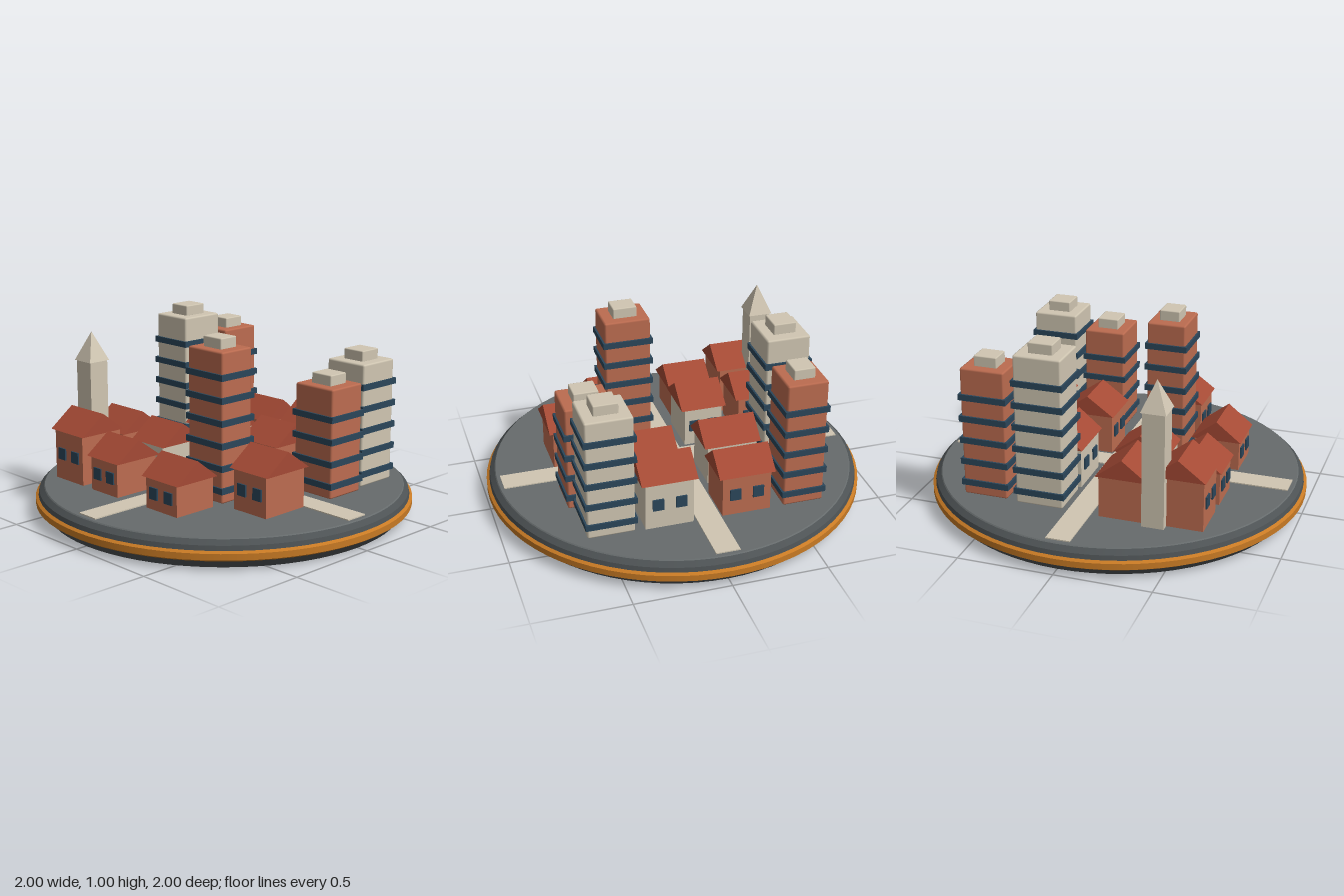
import * as THREE from 'three';
import { RoundedBoxGeometry } from 'three/addons/geometries/RoundedBoxGeometry.js';

const colours = {
  ground: 0x666b6c, stone: 0x4d5254, gold: 0xc87a24, cream: 0xd0c6b2,
  brick: 0xbc6c50, roof: 0xa54a35, glass: 0x2b465a,
};
const GROUND = 0.15;

export function createModel() {
  const root = new THREE.Group();
  root.name = 'cityDisc';
  const mats = {};
  for (const [name, color] of Object.entries(colours)) {
    mats[name] = new THREE.MeshStandardMaterial({ color });
    mats[name].name = name;
  }

  const add = (parent, name, geometry, mat, x, y, z) => {
    const mesh = new THREE.Mesh(geometry, mats[mat]);
    mesh.name = name;
    mesh.position.set(x, y, z);
    parent.add(mesh);
    return mesh;
  };
  const box = (w, h, d) => new THREE.BoxGeometry(w, h, d);
  const group = (name, x, z) => {
    const g = new THREE.Group();
    g.name = name;
    g.position.set(x, GROUND, z);
    root.add(g);
    return g;
  };

  // Round base: stacked rings [name, bottom radius, top radius, bottom y, top y, colour]
  const rings = [
    ['baseFoot', 0.94, 0.985, 0, 0.05, 'stone'],
    ['goldLowerBevel', 0.985, 1.0, 0.046, 0.056, 'gold'],
    ['goldBand', 1.0, 1.0, 0.056, 0.088, 'gold'],
    ['goldUpperBevel', 1.0, 0.985, 0.088, 0.098, 'gold'],
    ['baseRim', 0.985, 0.98, 0.098, 0.122, 'stone'],
    ['baseShoulder', 0.98, 0.955, 0.122, 0.145, 'stone'],
    ['groundDisc', 0.955, 0.95, 0.145, GROUND, 'ground'],
  ];
  for (const [name, r0, r1, y0, y1, mat] of rings)
    add(root, name, new THREE.CylinderGeometry(r1, r0, y1 - y0, 72), mat, 0, (y0 + y1) / 2, 0);

  // Crossing roads
  add(root, 'roadAcross', box(1.86, 0.006, 0.125), 'cream', 0, GROUND + 0.003, 0);
  for (const s of [-1, 1])
    add(root, 'roadAlong', box(0.125, 0.006, 0.867), 'cream', 0, GROUND + 0.003, s * 0.4965);

  // Towers: [x, z, width, depth, height, colour]
  const FLOOR = 0.1165;
  const towers = [
    [-0.505, -0.513, 0.235, 0.255, 0.687, 'brick'],
    [-0.51, -0.215, 0.25, 0.27, 0.795, 'cream'],
    [0.503, -0.508, 0.265, 0.26, 0.652, 'cream'],
    [0.53, -0.229, 0.27, 0.245, 0.572, 'brick'],
    [0.203, 0.225, 0.265, 0.225, 0.777, 'brick'],
  ];
  for (const [x, z, w, d, h, mat] of towers) {
    const g = group('tower', x, z);
    add(g, 'towerBody', new RoundedBoxGeometry(w - 0.02, h, d - 0.02, 1, 0.01), mat, 0, h / 2, 0);
    add(g, 'towerRoofBox', new RoundedBoxGeometry(w * 0.48, 0.06, d * 0.48, 1, 0.006), 'cream', 0, h + 0.025, 0);
    for (let i = 0; i < Math.floor(h / FLOOR); i++)
      add(g, 'windowBand', box(w, 0.032, d), 'glass', 0, 0.068 + i * FLOOR, 0);
  }

  // Gable roof prism with its ridge along x
  const gable = (w, h, d) => {
    const s = new THREE.Shape();
    s.moveTo(-d / 2, 0);
    s.lineTo(d / 2, 0);
    s.lineTo(0, h);
    s.closePath();
    return new THREE.ExtrudeGeometry(s, { depth: w, bevelEnabled: false })
      .translate(0, 0, -w / 2).rotateY(Math.PI / 2);
  };

  // Houses: [x, z, roof width, roof depth, wall height, colour]
  const houses = [
    [-0.2, -0.515, 0.295, 0.25, 0.22, 'brick'],
    [0.205, -0.505, 0.29, 0.275, 0.255, 'cream'],
    [-0.23, -0.202, 0.305, 0.255, 0.215, 'cream'],
    [0.198, -0.21, 0.26, 0.295, 0.215, 'brick'],
    [-0.523, 0.228, 0.26, 0.275, 0.225, 'brick'],
    [-0.205, 0.218, 0.25, 0.285, 0.215, 'cream'],
    [0.525, 0.197, 0.26, 0.295, 0.212, 'brick'],
    [-0.513, 0.51, 0.265, 0.28, 0.265, 'brick'],
    [-0.223, 0.508, 0.245, 0.285, 0.18, 'brick'],
    [0.208, 0.508, 0.265, 0.268, 0.163, 'brick'],
  ];
  for (const [x, z, w, d, h, mat] of houses) {
    const g = group('house', x, z);
    const wallDepth = d - 0.025;
    add(g, 'houseWalls', box(w - 0.04, h, wallDepth), mat, 0, h / 2, 0);
    add(g, 'gableRoof', gable(w, 0.105, d), 'roof', 0, h, 0);
    for (const sx of [-1, 1])
      for (const sz of [-1, 1])
        add(g, 'houseWindow', box(0.057, 0.062, 0.009), 'glass', sx * w * 0.205, h * 0.53, sz * (wallDepth / 2 + 0.004));
  }

  // Pointed stone tower
  const spire = group('spireTower', -0.61, 0.393);
  add(spire, 'spireShaft', box(0.115, 0.605, 0.115), 'cream', 0, 0.3025, 0);
  const cap = new THREE.ConeGeometry(0.13 * Math.SQRT1_2, 0.155, 4, 1).rotateY(Math.PI / 4).toNonIndexed();
  cap.computeVertexNormals();
  add(spire, 'spireCap', cap, 'cream', 0, 0.6825, 0);

  return root;
}
